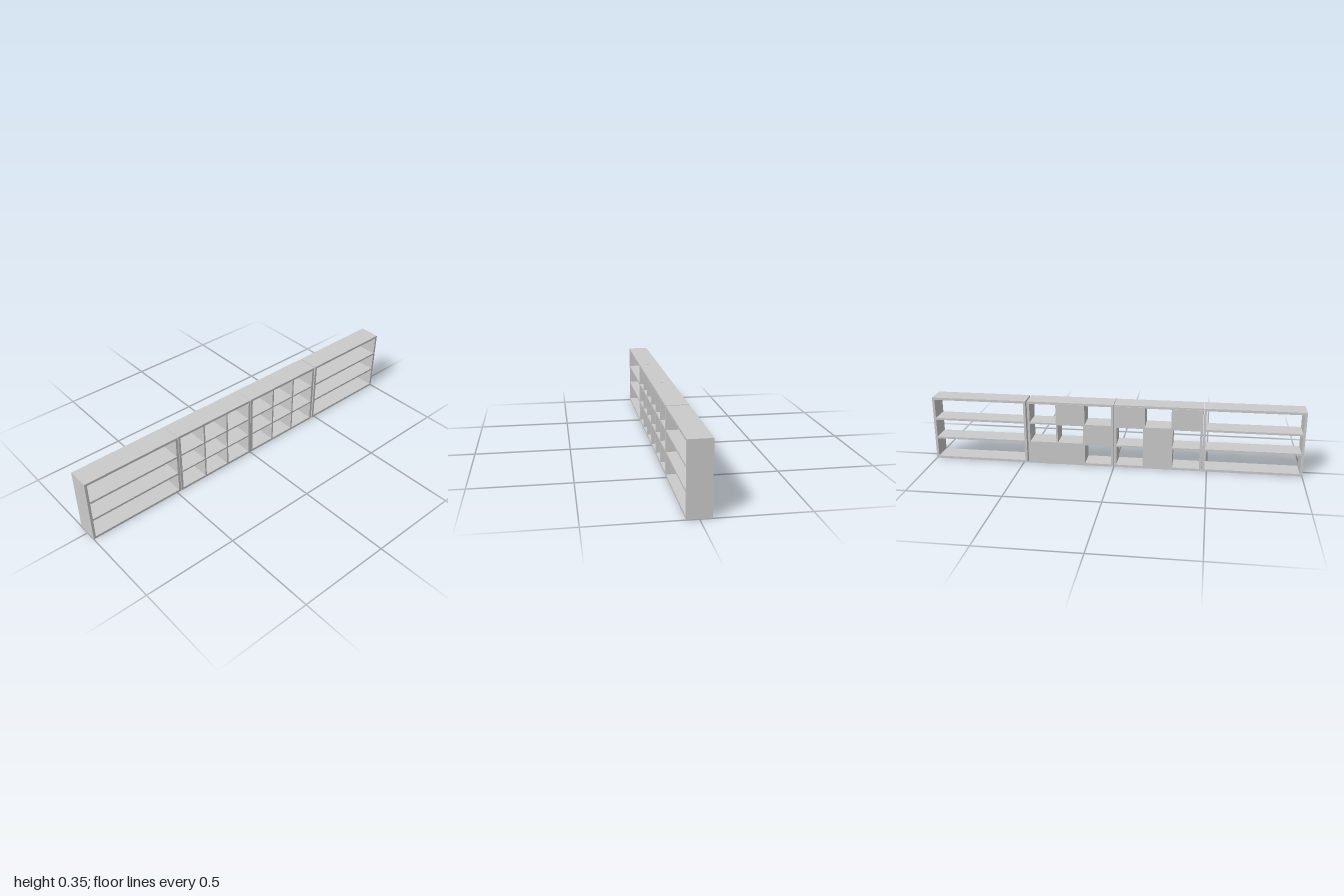
import * as THREE from 'three';

const HEIGHT = 0.353, T = 0.013, BACK = -0.056, FRONT = 0.058;
const material = new THREE.MeshStandardMaterial({ color: 0xcccccc, flatShading: true });

// Box given by its lower and upper corners
function board(group, name, x0, x1, y0, y1, z0 = BACK, z1 = FRONT) {
  const mesh = new THREE.Mesh(new THREE.BoxGeometry(x1 - x0, y1 - y0, z1 - z0), material);
  mesh.position.set((x0 + x1) / 2, (y0 + y1) / 2, (z0 + z1) / 2);
  mesh.name = name;
  group.add(mesh);
}

// Open bookcase split by shelves and uprights; backs lists [column, row] cells closed behind
function bookcase(name, x0, x1, columns, shelfT, backs = []) {
  const unit = new THREE.Group();
  unit.name = name;
  const left = x0 + T, right = x1 - T;
  const cellW = (right - left) / columns, cellH = (HEIGHT - 2 * T) / 3;

  // Outer frame
  board(unit, 'sidePanel', x0, left, 0, HEIGHT);
  board(unit, 'sidePanel', right, x1, 0, HEIGHT);
  board(unit, 'bottomBoard', left, right, 0, T);
  board(unit, 'topBoard', left, right, HEIGHT - T, HEIGHT);

  // Shelves
  for (let row = 1; row < 3; row++) {
    const y = T + row * cellH;
    board(unit, 'shelf', left, right, y - shelfT / 2, y + shelfT / 2);
  }

  // Uprights between shelves
  for (let col = 1; col < columns; col++) {
    const x = left + col * cellW;
    for (let row = 0; row < 3; row++) {
      const y0 = T + row * cellH + (row > 0 ? shelfT / 2 : 0);
      const y1 = T + (row + 1) * cellH - (row < 2 ? shelfT / 2 : 0);
      board(unit, 'upright', x - shelfT / 2, x + shelfT / 2, y0, y1);
    }
  }

  // Thin panels laid over the back
  for (const [col, row] of backs) {
    const x = left + col * cellW, y = T + row * cellH, lap = shelfT / 2;
    board(unit, 'backPanel', x - lap, x + cellW + lap, y - lap, y + cellH + lap, BACK - 0.002, BACK);
  }
  return unit;
}

export function createModel() {
  const model = new THREE.Group();
  model.name = 'shelvingWall';
  model.add(
    bookcase('rightOpenShelves', -1, -0.475, 1, 0.011),
    bookcase('rightCubeShelves', -0.472, 0, 3, 0.009, [[0, 2], [2, 2], [1, 1], [1, 0]]),
    bookcase('leftCubeShelves', 0.002, 0.472, 3, 0.009, [[1, 2], [0, 1], [1, 0], [2, 0]]),
    bookcase('leftOpenShelves', 0.48, 1, 1, 0.011),
  );
  return model;
}
